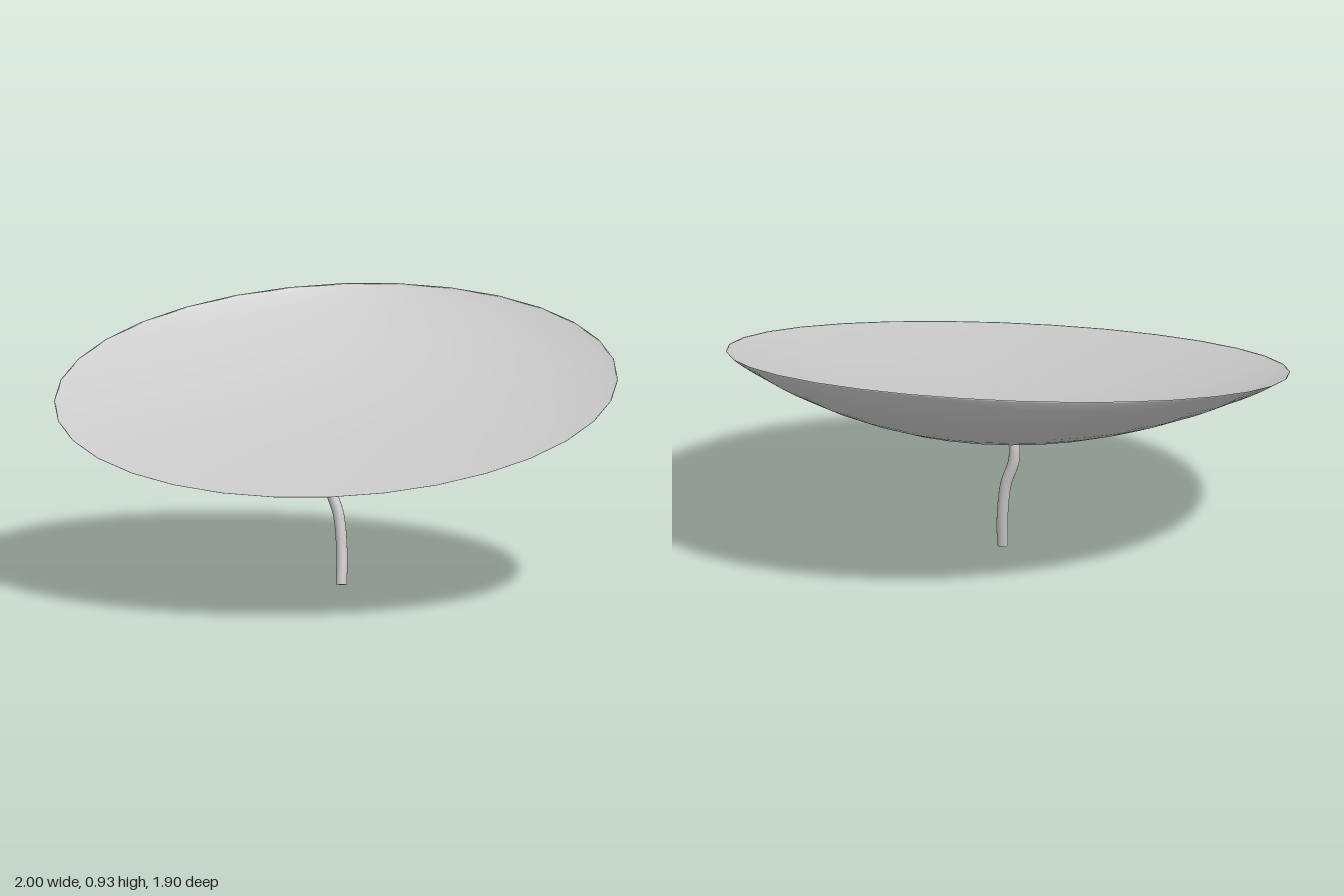
import * as THREE from 'three';
import { mergeVertices } from 'three/addons/utils/BufferGeometryUtils.js';

export function createModel() {
  const model = new THREE.Group();
  model.name = 'dish';
  const material = new THREE.MeshStandardMaterial({ color: 0xcccccc });
  const add = (name, geometry, parent = model) => {
    const mesh = new THREE.Mesh(geometry, material);
    mesh.name = name;
    parent.add(mesh);
    return mesh;
  };

  // Reflector: closed bowl, underside first (y = -1), then the shallower inside (y = -0.6)
  const rings = 16;
  const profile = [];
  for (let i = 0; i <= 2 * rings; i++) {
    const r = i % (2 * rings) === 0 ? 0 : Math.sin((i / rings) * Math.PI / 2);
    profile.push(new THREE.Vector2(r, i <= rings ? -1 : -0.6));
  }
  let bowl = new THREE.LatheGeometry(profile, 32);
  const p = bowl.attributes.position;
  for (let i = 0; i < p.count; i++) {
    const x = p.getX(i), z = p.getZ(i);
    // Deepest towards the back, zero at the rim
    const depth = 0.213 * Math.max(0, 1 - x * x - z * z) ** 0.9 * Math.exp(-0.68 * z);
    p.setXYZ(i, x, p.getY(i) * depth, z * 0.979);
  }
  bowl.deleteAttribute('uv');
  bowl.deleteAttribute('normal');
  bowl = mergeVertices(bowl);
  bowl.computeVertexNormals();
  const reflector = add('reflector', bowl);
  reflector.rotation.x = 0.237;
  reflector.position.set(0, 0.702, 0);

  // Stem: a bent round rod with closed ends
  const path = new THREE.CatmullRomCurve3([
    [0.02, 0.006, 0.002], [0.017, 0.12, -0.018], [0.002, 0.25, -0.032],
    [-0.027, 0.34, -0.038], [-0.027, 0.41, -0.038], [0.0, 0.465, -0.036], [0.03, 0.488, -0.034],
  ].map((a) => new THREE.Vector3(...a)));
  const stem = new THREE.Group();
  stem.name = 'stem';
  model.add(stem);
  add('stemRod', new THREE.TubeGeometry(path, 40, 0.02, 16), stem);
  for (const [t, dir] of [[0, -1], [1, 1]]) {
    const cap = add('stemCap', new THREE.CircleGeometry(0.02, 16), stem);
    cap.position.copy(path.getPointAt(t));
    cap.quaternion.setFromUnitVectors(new THREE.Vector3(0, 0, 1), path.getTangentAt(t).multiplyScalar(dir));
  }
  return model;
}
